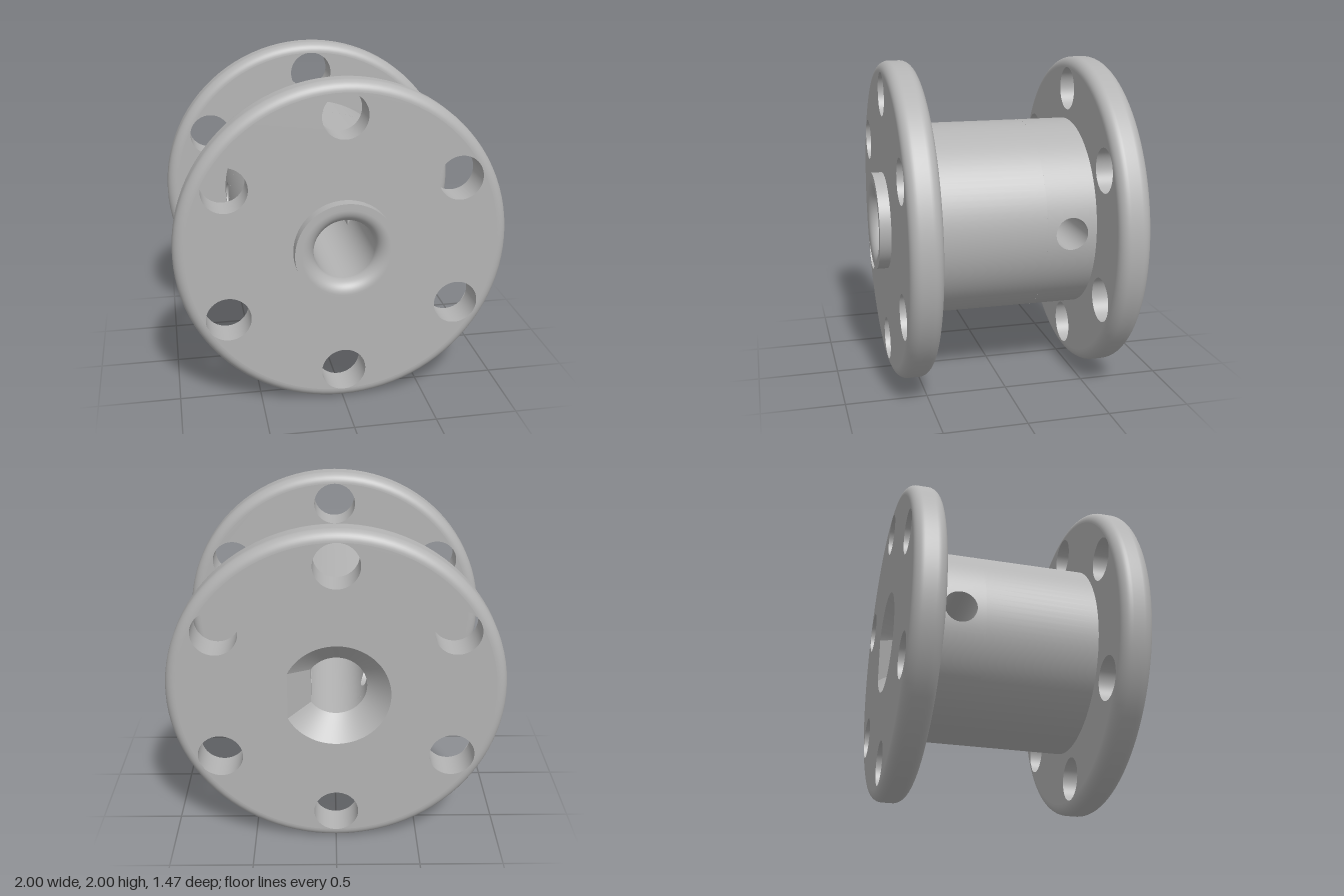
import * as THREE from 'three';

const FLANGE_R = 1, FILLET = 0.065, BARREL_R = 0.605, BORE_R = 0.185, FLAT_X = 0.15;
const PIN_R = 0.1, PIN_Z = -0.385;            // cross hole through the barrel
const Z_BACK = -0.735, Z_BACK_IN = -0.54, Z_FRONT_IN = 0.47, Z_FRONT = 0.665, Z_BOSS = 0.735;
const CHAMFER = 0.135, Z_FLAT_END = 0;        // the D-shaped bore runs from chamfer to here
const SEG = 96;

export function createModel() {
  const grey = new THREE.MeshStandardMaterial({ color: 0xb4b4b4, side: THREE.DoubleSide });
  grey.name = 'light grey';
  const model = new THREE.Group();
  model.name = 'spool';
  const body = new THREE.Group();
  body.name = 'spoolBody';
  body.position.y = 1;
  model.add(body);

  const add = (name, geometry, z = 0) => {
    const mesh = new THREE.Mesh(geometry, grey);
    mesh.name = name;
    mesh.position.z = z;
    body.add(mesh);
    return mesh;
  };

  // smooth skin over rows of points
  const loft = (rows) => {
    const n = rows[0].length, index = [];
    for (let i = 0; i < rows.length - 1; i++)
      for (let j = 0; j < n - 1; j++) {
        const a = i * n + j, b = a + n;
        index.push(a, a + 1, b, b, a + 1, b + 1);
      }
    const g = new THREE.BufferGeometry().setFromPoints(rows.flat());
    g.setIndex(index);
    g.computeVertexNormals();
    return g;
  };

  // open tube along z, optionally only an arc of it (angle from +x)
  const tube = (r, z0, z1, start = 0, length = Math.PI * 2) =>
    new THREE.CylinderGeometry(r, r, z1 - z0, SEG, 1, true, start + Math.PI / 2, length)
      .rotateX(Math.PI / 2).translate(0, 0, (z0 + z1) / 2);

  // lathe around z from [radius, z] pairs
  const latheZ = (pts) => new THREE.LatheGeometry(
    pts.map(([r, z]) => new THREE.Vector2(r, z)), SEG).rotateX(Math.PI / 2);

  const circle = (r, x = 0, y = 0) => new THREE.Path().absarc(x, y, r, 0, Math.PI * 2);
  const dAngle = (r, offset) => Math.acos((FLAT_X + offset) / r);
  const holeCentres = Array.from({ length: 6 }, (_, k) => {
    const a = Math.PI / 2 + k * Math.PI / 3;
    return [0.8 * Math.cos(a), 0.8 * Math.sin(a)];
  });

  // flat flange face with six holes and a centre opening
  const face = (name, z, opening, back) => {
    const s = new THREE.Shape().absarc(0, 0, FLANGE_R - FILLET, 0, Math.PI * 2);
    s.holes.push(opening, ...holeCentres.map(([x, y]) => circle(0.135, x, y)));
    const mesh = add(name, new THREE.ShapeGeometry(s, SEG / 2), z);
    if (back) { // mirror so that the front side looks backwards
      mesh.geometry.rotateY(Math.PI);
    }
  };

  // rounded rim and hole walls of a flange
  const flange = (name, z0, z1) => {
    const rim = [];
    for (let i = 0; i <= 20; i++) {
      const a = -Math.PI / 2 + (i > 10 ? i - 1 : i) * Math.PI / 20 + (i > 10 ? Math.PI / 20 : 0);
      const z = i < 10 ? z0 + FILLET : z1 - FILLET;
      if (i === 10) rim.push([FLANGE_R, z0 + FILLET]);
      rim.push([FLANGE_R - FILLET + FILLET * Math.cos(a), z + FILLET * Math.sin(a)]);
    }
    add(name + 'Rim', latheZ(rim));
    for (const [x, y] of holeCentres)
      add(name + 'HoleWall', tube(0.135, z0, z1).translate(x, y, 0));
  };

  // back opening is a circle with a flat on +x (mirrored because the face is turned)
  const rOut = BORE_R + CHAMFER, aOut = dAngle(rOut, CHAMFER), aIn = dAngle(BORE_R, 0);
  const dOpening = new THREE.Path().absarc(0, 0, rOut, Math.PI + aOut, 3 * Math.PI - aOut);
  dOpening.closePath();

  flange('frontFlange', Z_FRONT_IN, Z_FRONT);
  face('frontFlangeOuterFace', Z_FRONT, circle(0.305));
  face('frontFlangeInnerFace', Z_FRONT_IN, circle(BARREL_R), true);
  flange('backFlange', Z_BACK, Z_BACK_IN);
  face('backFlangeOuterFace', Z_BACK, dOpening, true);
  face('backFlangeInnerFace', Z_BACK_IN, circle(BARREL_R));

  // boss with a rounded mouth leading into the round bore
  add('bossSide', tube(0.305, Z_FRONT, Z_BOSS));
  const mouth = [[BORE_R, Z_FLAT_END]], f = 0.08;
  for (let i = 0; i <= 12; i++) {
    const a = i * Math.PI / 24;
    mouth.push([BORE_R + f - f * Math.cos(a), Z_BOSS - f + f * Math.sin(a)]);
  }
  mouth.push([0.305, Z_BOSS]);
  add('boreMouth', latheZ(mouth));

  // chamfer around the D-shaped back opening
  const dArc = (r, a, z) => Array.from({ length: SEG + 1 }, (_, i) => {
    const t = a + (2 * Math.PI - 2 * a) * i / SEG;
    return new THREE.Vector3(r * Math.cos(t), r * Math.sin(t), z);
  });
  const zC = Z_BACK + CHAMFER;
  const outer = dArc(rOut, aOut, Z_BACK), inner = dArc(BORE_R, aIn, zC);
  add('chamferCone', loft([outer, inner]));
  add('chamferFlat', loft([[outer[0], outer[SEG]], [inner[0], inner[SEG]]]));

  // step where the D-shaped bore becomes round
  add('boreStep', new THREE.ShapeGeometry(
    new THREE.Shape().absarc(0, 0, BORE_R, -aIn, aIn), 24), Z_FLAT_END);

  // wall patch x = xOf(y) with the cross hole cut out of it
  const patch = (name, xOf, halfY, z0, z1) => {
    const N = 16, RINGS = 6, rows = [];
    const corners = [[-halfY, z0], [halfY, z0], [halfY, z1], [-halfY, z1]];
    for (let k = 0; k <= RINGS; k++) {
      const row = [], t = k / RINGS;
      for (let j = 0; j <= 4 * N; j++) {
        const side = Math.floor(j / N) % 4, u = (j % N) / N;
        const [ya, za] = corners[side], [yb, zb] = corners[(side + 1) % 4];
        const a = -3 * Math.PI / 4 + j * Math.PI / (2 * N);
        const y = THREE.MathUtils.lerp(PIN_R * Math.cos(a), ya + (yb - ya) * u, t);
        const z = THREE.MathUtils.lerp(PIN_Z + PIN_R * Math.sin(a), za + (zb - za) * u, t);
        row.push(new THREE.Vector3(xOf(y), y, z));
      }
      rows.push(row);
    }
    add(name, loft(rows));
  };
  const onCircle = (r, sign) => (y) => sign * Math.sqrt(Math.max(0, r * r - y * y));
  const flat = () => FLAT_X;

  // barrel: plain length, then a band with a drilled patch on each side
  const zBand = PIN_Z + 0.155, hB = 0.155, aB = Math.asin(hB / BARREL_R);
  add('barrel', tube(BARREL_R, zBand, Z_FRONT_IN));
  for (const s of [0, Math.PI])
    add('barrelBand', tube(BARREL_R, Z_BACK_IN, zBand, s + aB, Math.PI - 2 * aB));
  for (const s of [1, -1])
    patch('barrelDrilledPatch', onCircle(BARREL_R, s), hB, Z_BACK_IN, zBand);

  // D-shaped bore: flat on +x, drilled patch on -x, plain arcs between
  const hI = 0.13, aI = Math.asin(hI / BORE_R), z0 = PIN_Z - 0.14, z1 = PIN_Z + 0.14;
  const half = BORE_R * Math.sin(aIn);
  patch('boreFlat', flat, half, zC, Z_FLAT_END);
  patch('boreDrilledPatch', onCircle(BORE_R, -1), hI, z0, z1);
  add('boreArc', tube(BORE_R, zC, Z_FLAT_END, aIn, Math.PI - aI - aIn));
  add('boreArc', tube(BORE_R, zC, Z_FLAT_END, Math.PI + aI, Math.PI - aI - aIn));
  add('boreArc', tube(BORE_R, zC, z0, Math.PI - aI, 2 * aI));
  add('boreArc', tube(BORE_R, z1, Z_FLAT_END, Math.PI - aI, 2 * aI));

  // walls of the cross hole
  const pinWall = (xA, xB) => add('crossHoleWall', loft([xA, xB].map((xOf) =>
    Array.from({ length: 65 }, (_, j) => {
      const a = j * Math.PI / 32, y = PIN_R * Math.cos(a);
      return new THREE.Vector3(xOf(y), y, PIN_Z + PIN_R * Math.sin(a));
    }))));
  pinWall(flat, onCircle(BARREL_R, 1));
  pinWall(onCircle(BORE_R, -1), onCircle(BARREL_R, -1));

  return model;
}
